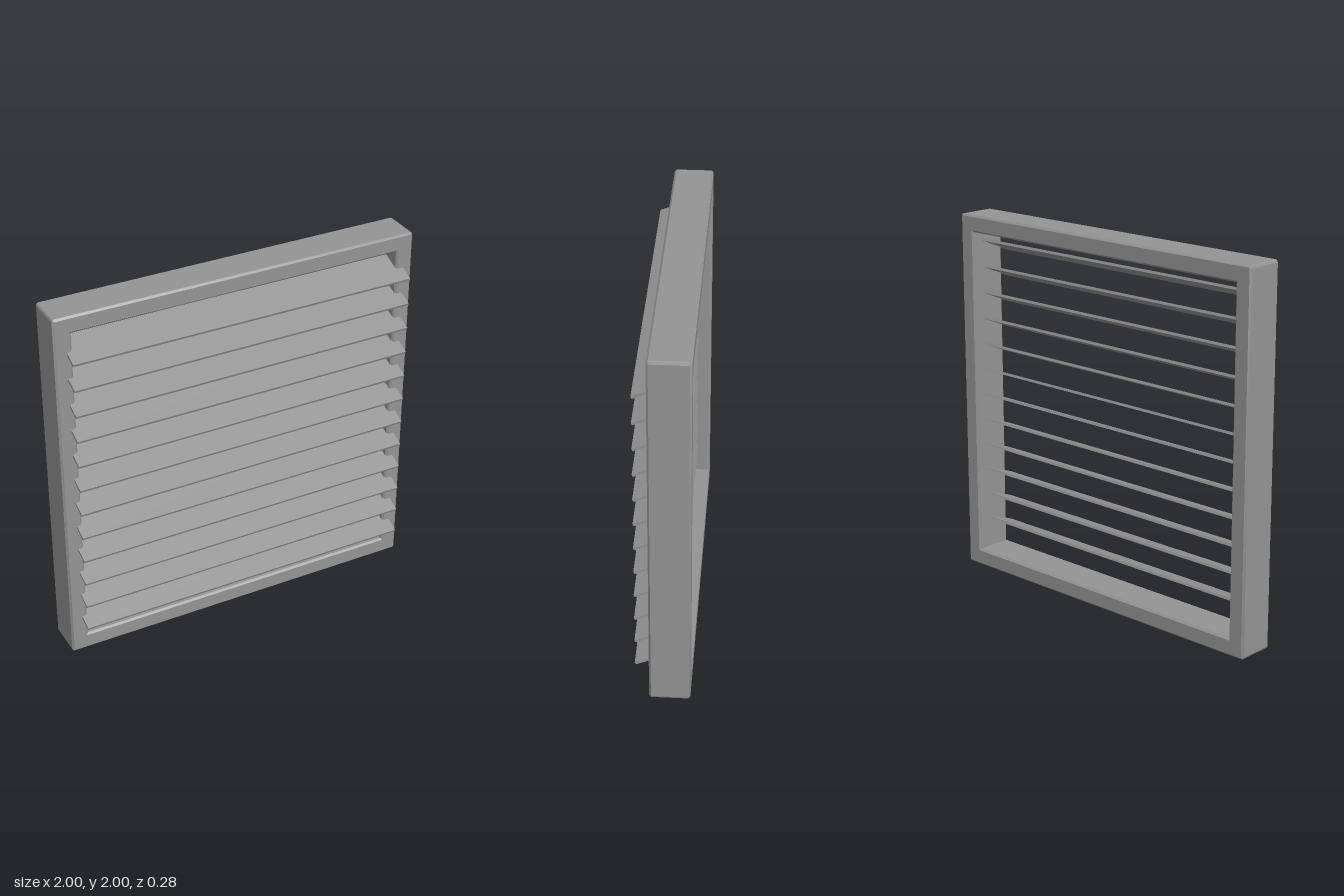
import * as THREE from 'three';
import { toCreasedNormals } from 'three/addons/utils/BufferGeometryUtils.js';

const BEVEL = 0.01;

// Rectangle outline centred on (0, 1), with optional cut corners
function rectangle(path, half, radius) {
  const c = half - radius;
  [[c, c], [-c, c], [-c, -c], [c, -c]].forEach(([x, y], i) => {
    const a = i * Math.PI / 2;
    if (radius) path.absarc(x, y + 1, radius, a, a + Math.PI / 2, false);
    else if (i === 0) path.moveTo(x, y + 1);
    else path.lineTo(x, y + 1);
  });
  path.closePath();
  return path;
}

export function createModel() {
  const model = new THREE.Group();
  model.name = 'louvredVent';
  const material = new THREE.MeshStandardMaterial({ color: 0x949494 });

  // Square frame with chamfered edges
  const outline = rectangle(new THREE.Shape(), 1 - BEVEL, 0.006);
  outline.holes.push(rectangle(new THREE.Path(), 0.907 + BEVEL, 0));
  const frameGeometry = new THREE.ExtrudeGeometry(outline, {
    depth: 0.21 - 2 * BEVEL,
    bevelSize: BEVEL,
    bevelThickness: BEVEL,
    bevelSegments: 1,
    curveSegments: 1,
  });
  frameGeometry.translate(0, 0, -0.14 + BEVEL);
  const frame = new THREE.Mesh(toCreasedNormals(frameGeometry, 0.3), material);
  frame.name = 'frame';
  model.add(frame);

  // Twelve slats sloping down towards the front, let into the side rails
  const slats = new THREE.Group();
  slats.name = 'slats';
  const slatGeometry = new THREE.BoxGeometry(1.884, 0.014, 0.228);
  for (let i = 0; i < 12; i++) {
    const slat = new THREE.Mesh(slatGeometry, material);
    slat.name = 'slat' + (i + 1);
    slat.position.set(0.006, 0.225 + i * 0.1447, 0.036);
    slat.rotation.x = THREE.MathUtils.degToRad(22);
    slats.add(slat);
  }
  model.add(slats);

  return model;
}
